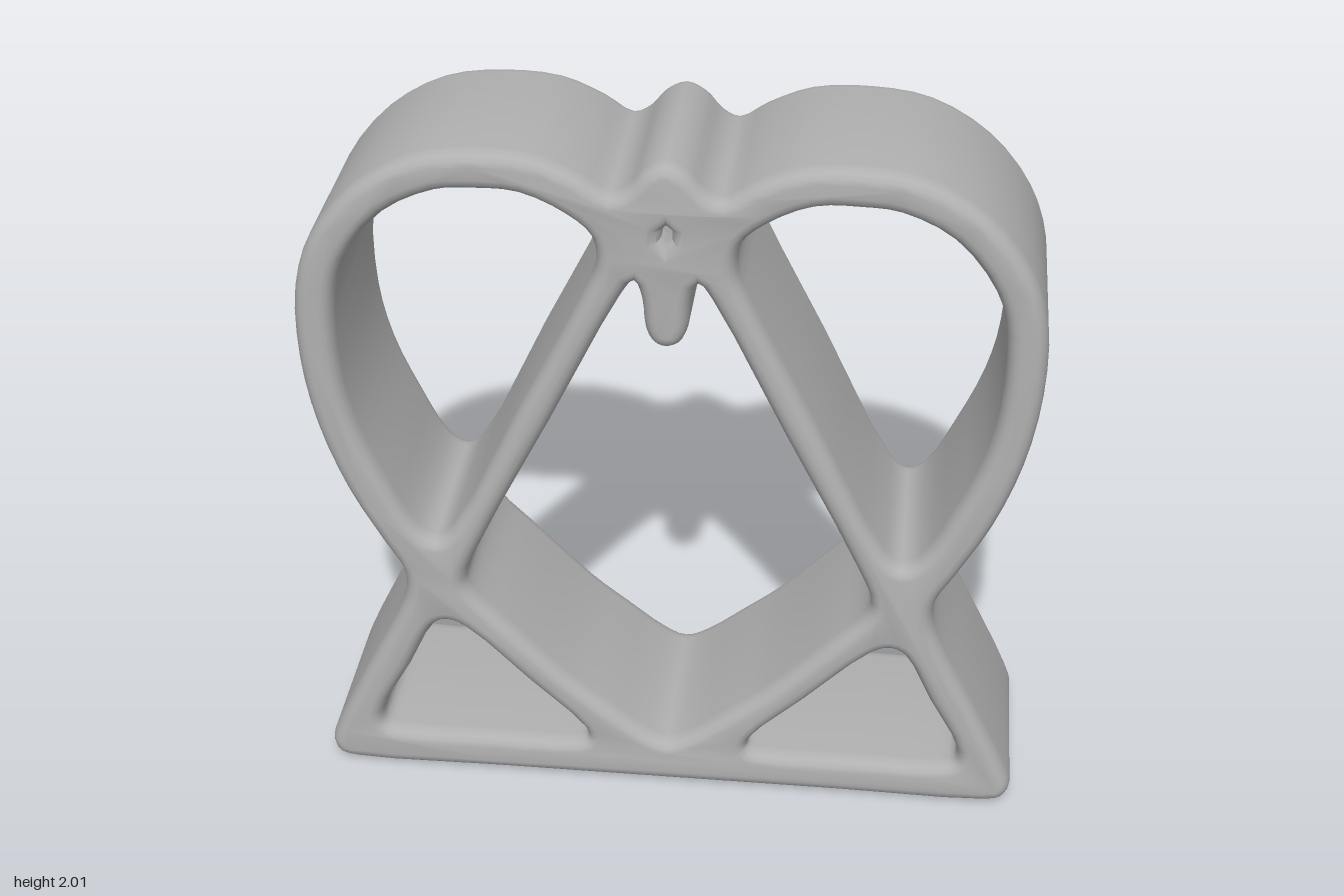
import * as THREE from 'three';
import { toCreasedNormals } from 'three/addons/utils/BufferGeometryUtils.js';

const DEPTH = 0.57, BEVEL = 0.035, ROUND = 0.05;

const mirror = pts => pts.map(([x, y]) => [-x, y]).reverse();
// Right half, starting and ending on the centre line, completed by its mirror image
const symmetric = half => [...half, ...mirror(half.slice(1, -1))];
// Smooth closed loop through the points
const smooth = (pts, steps = 3) =>
  new THREE.CatmullRomCurve3(pts.map(([x, y]) => new THREE.Vector3(x, y, 0)), true, 'centripetal')
    .getPoints(pts.length * steps).slice(0, -1).map(p => new THREE.Vector2(p.x, p.y));

// Heart lobes above a triangular foot
const outline = symmetric([
  [0, 1.99], [0.055, 1.965], [0.1, 1.915], [0.145, 1.895], [0.22, 1.94], [0.34, 1.99], [0.5, 2.0],
  [0.66, 1.975], [0.82, 1.88], [0.94, 1.73], [0.99, 1.58], [0.995, 1.36], [0.96, 1.15], [0.89, 0.95],
  [0.8, 0.78], [0.75, 0.69], [0.745, 0.62], [0.775, 0.53], [0.87, 0.34], [0.975, 0.12], [0.995, 0.055],
  [0.975, 0.015], [0.92, 0], [0.5, 0], [0, 0],
]);
// Central opening with the hanging tab at its top
const centre = symmetric([
  [0, 0.14], [0.06, 0.165], [0.17, 0.25], [0.28, 0.34], [0.465, 0.53], [0.55, 0.62], [0.57, 0.67],
  [0.52, 0.8], [0.32, 1.2], [0.12, 1.6], [0.085, 1.645], [0.066, 1.6], [0.056, 1.51], [0.035, 1.468],
  [0, 1.455],
]);
// Teardrop opening of a lobe
const lobe = [
  [0.65, 0.8], [0.7, 0.83], [0.78, 0.98], [0.85, 1.15], [0.885, 1.32], [0.885, 1.55], [0.85, 1.67],
  [0.74, 1.81], [0.6, 1.88], [0.5, 1.89], [0.38, 1.885], [0.26, 1.83], [0.195, 1.77], [0.185, 1.69],
  [0.22, 1.6], [0.4, 1.24], [0.6, 0.84],
];
// Triangular opening of a foot
const foot = [
  [0.63, 0.52], [0.58, 0.5], [0.4, 0.325], [0.245, 0.17], [0.235, 0.135], [0.27, 0.12], [0.5, 0.12],
  [0.78, 0.12], [0.83, 0.135], [0.835, 0.18], [0.75, 0.345], [0.67, 0.5],
];
// Small pierced eye in the clasp
const eye = Array.from({ length: 6 }, (_, i) => {
  const a = i * Math.PI / 3 + Math.PI / 6;
  return new THREE.Vector2(0.016 * Math.cos(a), 1.785 + 0.024 * Math.sin(a));
});

export function createModel() {
  const group = new THREE.Group();
  group.name = 'heartFrame';
  const grey = new THREE.MeshStandardMaterial({ color: 0xb0b0b0 });
  grey.name = 'grey';

  // One rounded slab pierced by all the openings
  const shape = new THREE.Shape(smooth(outline));
  for (const h of [centre, lobe, mirror(lobe), foot, mirror(foot)]) shape.holes.push(new THREE.Path(smooth(h)));
  shape.holes.push(new THREE.Path(eye));
  const slab = new THREE.ExtrudeGeometry(shape, {
    depth: DEPTH - 2 * ROUND, bevelEnabled: true, bevelSize: BEVEL, bevelOffset: -BEVEL,
    bevelThickness: ROUND, bevelSegments: 4,
  });
  slab.translate(0, 0, ROUND - DEPTH / 2);
  const frame = new THREE.Mesh(toCreasedNormals(slab, 0.7), grey);
  frame.name = 'frame';
  group.add(frame);

  // Floor of the eye, hidden inside the clasp
  const plug = new THREE.Mesh(new THREE.CylinderGeometry(0.04, 0.04, 0.4, 12).rotateX(Math.PI / 2), grey);
  plug.position.y = 1.785;
  plug.name = 'eyeFloor';
  group.add(plug);
  return group;
}
